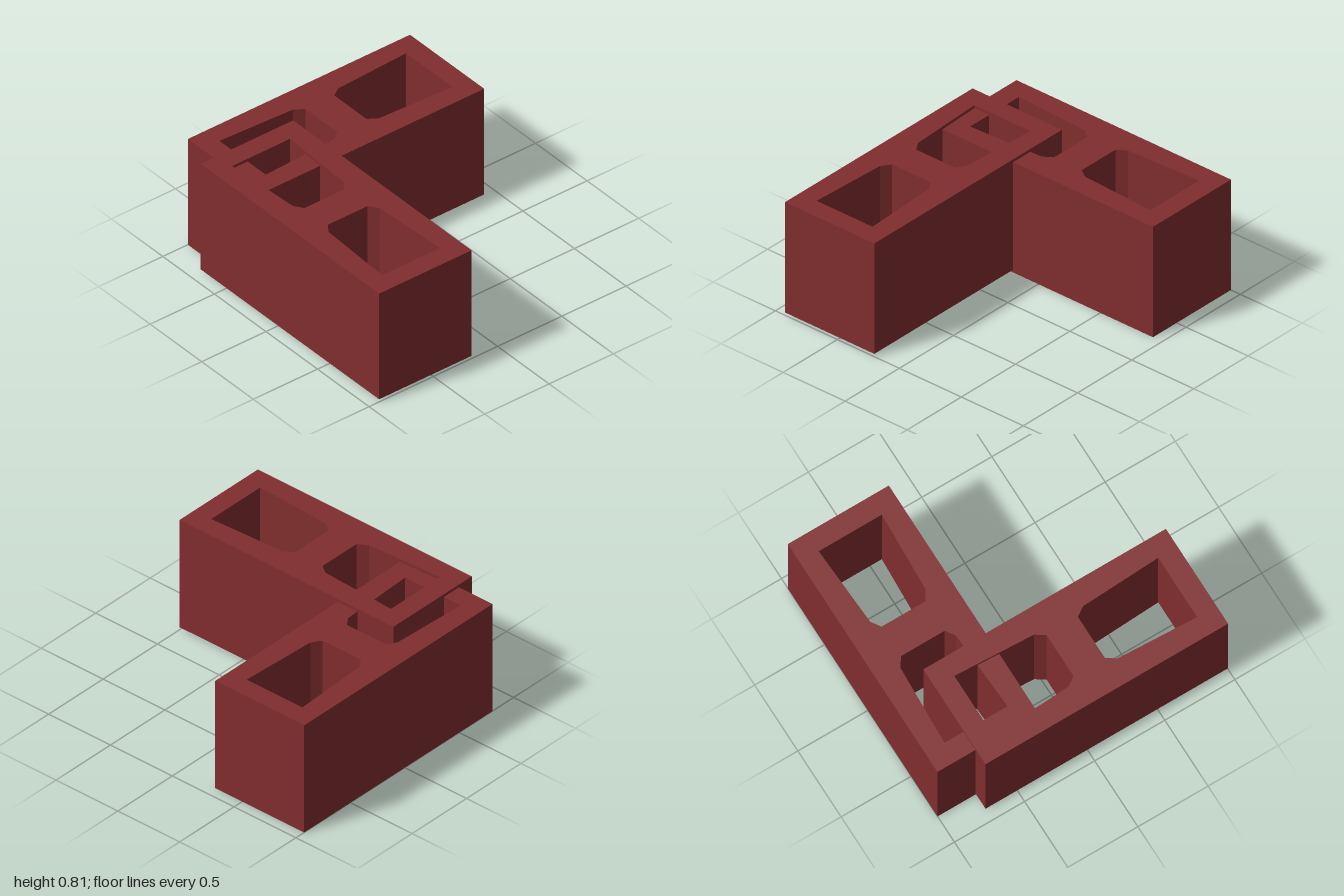
import * as THREE from 'three';

const LENGTH = 1.73, WIDTH = 0.72, HEIGHT = 0.79;

// Tapered core with chamfered inner corners; side is +1 or -1 along the length
function coreHole(side) {
  const half = [[0.727, 0.225], [0.175, 0.198], [0.112, 0.156]];
  const points = [
    ...half.map(([x, y]) => new THREE.Vector2(side * x, y)),
    ...half.slice().reverse().map(([x, y]) => new THREE.Vector2(side * x, -y)),
  ];
  return new THREE.Path(points);
}

// Hollow two-core block lying along x, standing on y = 0
function blockGeometry() {
  const l = LENGTH / 2, w = WIDTH / 2;
  const shape = new THREE.Shape([
    new THREE.Vector2(-l, -w), new THREE.Vector2(l, -w),
    new THREE.Vector2(l, w), new THREE.Vector2(-l, w),
  ]);
  shape.holes.push(coreHole(-1), coreHole(1));
  const geometry = new THREE.ExtrudeGeometry(shape, { depth: HEIGHT, bevelEnabled: false });
  return geometry.rotateX(-Math.PI / 2);
}

export function createModel() {
  const model = new THREE.Group();
  model.name = 'cornerBlocks';
  const brick = new THREE.MeshStandardMaterial({ color: 0x802d2e });
  brick.name = 'brick red';
  const geometry = blockGeometry();

  // Block running front to back
  const sideBlock = new THREE.Mesh(geometry, brick);
  sideBlock.name = 'sideBlock';
  sideBlock.rotation.y = Math.PI / 2;
  sideBlock.position.set(-0.641, 0, -0.06);

  // Block running left to right, slightly raised and overlapping the first
  const frontBlock = new THREE.Mesh(geometry, brick);
  frontBlock.name = 'frontBlock';
  frontBlock.position.set(0.135, 0.02, 0.562);

  model.add(sideBlock, frontBlock);
  return model;
}
